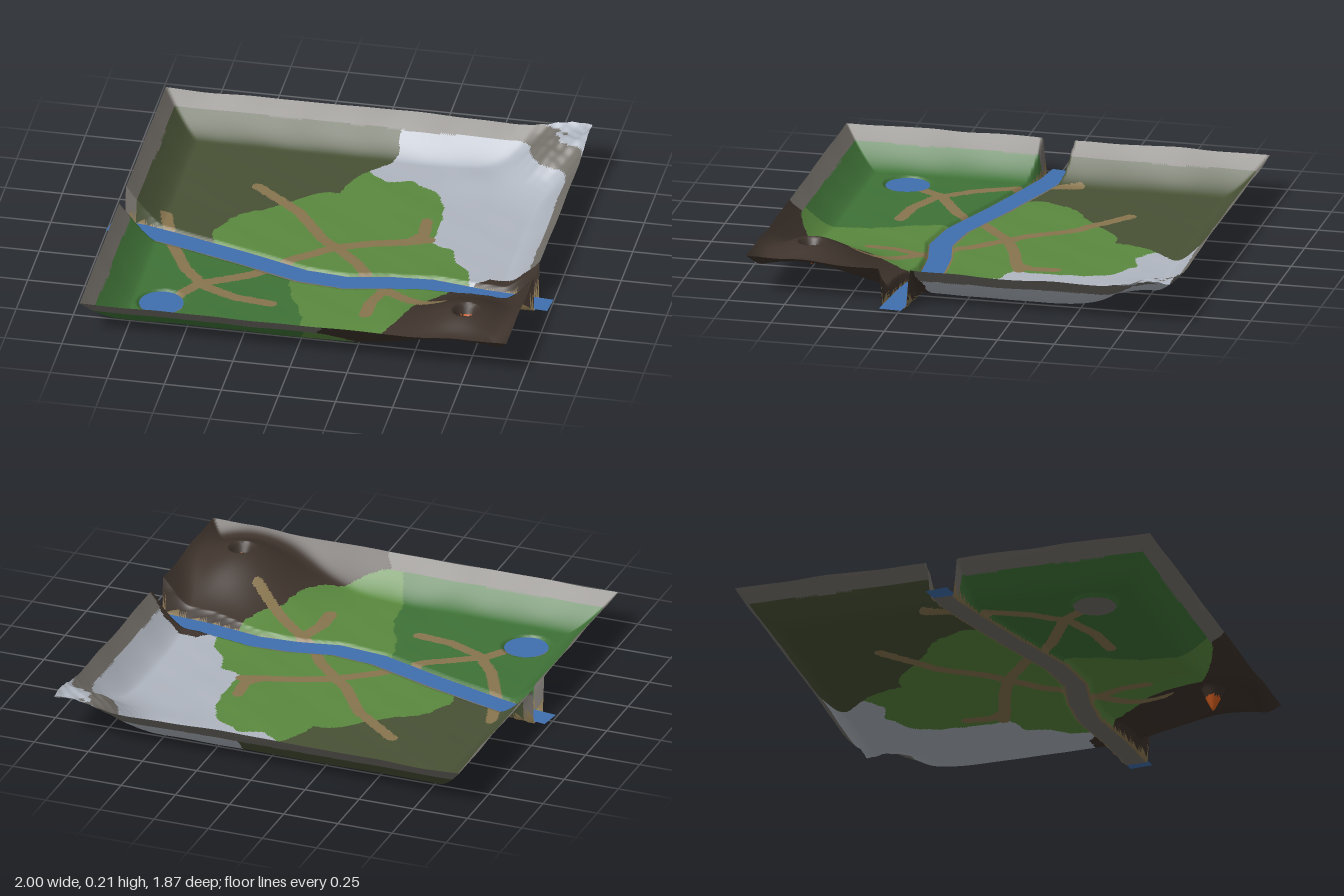
import * as THREE from 'three';

const HALF = 0.935, N = 230;
const COLORS = {
  meadow: 0x5a893f, forest: 0x3f7237, swamp: 0x485135, snow: 0xb0b6c0, ash: 0x3e332c,
  rock: 0x736f69, path: 0x88754f, water: 0x3f70ae, lava: 0xd8601f,
};
const NAMES = Object.keys(COLORS);

// River centre line and trails, as [x, z] points
const RIVER = [[-0.993, -0.01], [-0.85, 0.01], [-0.7, 0.052], [-0.4, 0.145], [-0.1, 0.25], [0.1, 0.272],
  [0.28, 0.235], [0.46, 0.222], [0.7, 0.262], [0.997, 0.286]];
const TRAILS = [
  [[-0.43, -0.44], [-0.21, -0.26], [-0.07, -0.06], [0, 0], [0.12, 0.12], [0.22, 0.27], [0.36, 0.38], [0.57, 0.54]],
  [[0, 0], [0.14, -0.06], [0.3, -0.11], [0.35, -0.18], [0.34, -0.29]],
  [[0.28, -0.1], [0.38, -0.14]],
  [[0, 0], [-0.16, 0.13], [-0.3, 0.29], [-0.5, 0.41]],
  [[-0.77, -0.13], [-0.7, 0.1], [-0.6, 0.3], [-0.51, 0.41], [-0.58, 0.52]],
  [[-0.5, 0.43], [-0.34, 0.5], [-0.18, 0.52]],
  [[0.28, 0.31], [0.24, 0.44], [0.24, 0.55]],
];

// Biome outlines
const ASH = [[0.13, 1], [0.1, 0.89], [0.2, 0.85], [0.32, 0.78], [0.4, 0.66], [0.43, 0.5], [0.52, 0.4],
  [0.57, 0.27], [0.63, 0.2], [0.7, 0.14], [0.85, 0.16], [1, 0.24], [1, 1]];
const MEADOW = [[0, -0.65], [0.1, -0.6], [0.2, -0.61], [0.32, -0.56], [0.38, -0.45], [0.4, -0.3], [0.39, -0.12],
  [0.5, -0.08], [0.54, 0.03], [0.6, 0.1], [0.63, 0.25], [0.6, 0.6], [0.3, 1], [0.05, 1], [0.03, 0.88], [-0.01, 0.75],
  [-0.03, 0.6], [-0.08, 0.5], [-0.14, 0.35], [-0.13, 0.24], [-0.5, 0.115], [-0.55, -0.02], [-0.5, -0.15],
  [-0.4, -0.24], [-0.3, -0.31], [-0.2, -0.41], [-0.08, -0.46], [-0.04, -0.58]];
const SNOW = [[0.11, -1], [0.11, -0.82], [0.08, -0.72], [0, -0.65], [0.2, -0.4], [0.3, 0.2], [1, 0.3], [1, -1]];

const clamp = THREE.MathUtils.clamp;
const smooth = (x, a, b) => THREE.MathUtils.smoothstep(x, a, b);

function noise(x, z) {
  return (Math.sin(x * 9 + 1.3 * Math.sin(z * 7)) + Math.sin(z * 11 + 1.7 * Math.sin(x * 8 + 2))
    + 0.6 * Math.sin(x * 23 + z * 17) + 0.5 * Math.sin(z * 29 - x * 19)) / 3;
}

function lineDistance(x, z, line) {
  let best = 9;
  for (let i = 0; i + 1 < line.length; i++) {
    const [ax, az] = line[i], dx = line[i + 1][0] - ax, dz = line[i + 1][1] - az;
    const t = clamp(((x - ax) * dx + (z - az) * dz) / (dx * dx + dz * dz), 0, 1);
    best = Math.min(best, Math.hypot(x - ax - t * dx, z - az - t * dz));
  }
  return best;
}

function inside(x, z, poly) {
  let hit = false;
  poly.forEach(([ax, az], i) => {
    const [bx, bz] = poly[(i + 1) % poly.length];
    if ((az > z) !== (bz > z) && x < ax + (z - az) / (bz - az) * (bx - ax)) hit = !hit;
  });
  return hit;
}

const riverDistance = (x, z) => lineDistance(x, z, RIVER);
const lakeDistance = (x, z) => Math.hypot(x + 0.645, z - 0.595);
const craterDistance = (x, z) => Math.hypot(x - 0.71, z - 0.7);

// Land height before water is cut in: raised rim, volcano, snowy peak
function landHeight(x, z) {
  const t = clamp(1 - (HALF - Math.max(Math.abs(x), Math.abs(z))) / 0.17, 0, 1);
  const corner = x > 0 ? smooth(Math.min(Math.abs(x), Math.abs(z)), 0.75, HALF) : 0;
  const rim = t ** 1.4 * (0.153 + 0.015 * corner + 0.007 * noise(x * 0.6, z * 0.6));
  const crater = craterDistance(x, z);
  const volcano = 0.187 * Math.exp(-((crater / 0.29) ** 2));
  const peakD = Math.hypot(x - 0.84, z + 0.84);
  const rough = Math.exp(-((peakD / 0.16) ** 2));
  const peak = 0.165 * Math.exp(-((peakD / 0.2) ** 2));
  let h = 0.019 + 0.003 * noise(x, z) + Math.cbrt(rim ** 3 + volcano ** 3 + peak ** 3);
  h += 0.013 * rough * noise(x * 4, z * 4);
  h += 0.012 * Math.exp(-(((x - 0.47) / 0.1) ** 2) - ((z + 0.65) / 0.1) ** 2);
  return Math.min(h, 0.085 + crater * 2);
}

function height(x, z) {
  const bank = Math.min(smooth(riverDistance(x, z), 0.05, 0.068), smooth(lakeDistance(x, z), 0.092, 0.108));
  return bank * landHeight(x, z);
}

function groundColor(x, z) {
  const y = landHeight(x, z), river = riverDistance(x, z);
  if (river < 0.045 || lakeDistance(x, z) < 0.092) return 'rock';
  if (river < 0.056) return 'path';
  if (craterDistance(x, z) < 0.034) return 'lava';
  if (TRAILS.some((line) => lineDistance(x, z, line) < 0.026)) return 'path';
  // Wobble the biome borders
  const wx = x + 0.012 * noise(x * 3, z * 3), wz = z + 0.012 * noise(z * 3 + 5, x * 3);
  if (inside(wx, wz, ASH)) return 'ash';
  const snowy = inside(wx, wz, SNOW);
  if (snowy && y > 0.178 && Math.hypot(x - 0.84, z + 0.84) < 0.26) return 'snow';
  if (y > 0.112) return 'rock';
  if (inside(wx, wz, MEADOW)) return 'meadow';
  if (snowy) return 'snow';
  // The river parts the two woodlands
  const i = clamp(RIVER.findIndex((p) => p[0] > x), 1, RIVER.length - 1);
  const [ax, az] = RIVER[i - 1], [bx, bz] = RIVER[i];
  return z > az + (x - ax) / (bx - ax) * (bz - az) ? 'forest' : 'swamp';
}

function terrainGeometry() {
  const positions = [], buckets = NAMES.map(() => []);
  const at = (i) => -HALF + 2 * HALF * i / N;
  for (let j = 0; j <= N; j++) {
    for (let i = 0; i <= N; i++) positions.push(at(i), height(at(i), at(j)), at(j));
  }
  for (let j = 0; j < N; j++) {
    for (let i = 0; i < N; i++) {
      const a = j * (N + 1) + i, b = a + 1, c = a + N + 1, d = c + 1;
      const third = (u, v) => groundColor(at(i + u / 3), at(j + v / 3));
      buckets[NAMES.indexOf(third(1, 1))].push(a, c, b);
      buckets[NAMES.indexOf(third(2, 2))].push(b, c, d);
    }
  }
  const geo = new THREE.BufferGeometry();
  geo.setAttribute('position', new THREE.Float32BufferAttribute(positions, 3));
  geo.setIndex(buckets.flat());
  let start = 0;
  buckets.forEach((bucket, m) => {
    if (bucket.length) geo.addGroup(start, bucket.length, m);
    start += bucket.length;
  });
  geo.computeVertexNormals();
  return geo;
}

// Flat ribbon following the river centre line
function riverShape(half) {
  const left = [], right = [];
  RIVER.forEach(([x, z], i) => {
    const p = RIVER[Math.max(i - 1, 0)], q = RIVER[Math.min(i + 1, RIVER.length - 1)];
    const n = new THREE.Vector2(-(q[1] - p[1]), q[0] - p[0]).setLength(half);
    left.push(new THREE.Vector2(x + n.x, -(z + n.y)));
    right.unshift(new THREE.Vector2(x - n.x, -(z - n.y)));
  });
  return new THREE.Shape([...left, ...right]);
}

export function createModel() {
  const group = new THREE.Group();
  const materials = NAMES.map((name) => {
    const m = new THREE.MeshStandardMaterial({ color: COLORS[name], side: THREE.DoubleSide });
    m.name = name;
    return m;
  });
  const water = materials[NAMES.indexOf('water')];
  const add = (name, geo, mat) => {
    const mesh = new THREE.Mesh(geo, mat);
    mesh.name = name;
    group.add(mesh);
    return mesh;
  };
  add('terrain', terrainGeometry(), materials);
  add('river', new THREE.ShapeGeometry(riverShape(0.05)).rotateX(-Math.PI / 2), water).position.y = 0.012;
  add('lake', new THREE.CircleGeometry(0.096, 40).rotateX(-Math.PI / 2), water).position.set(-0.645, 0.012, 0.595);
  return group;
}
